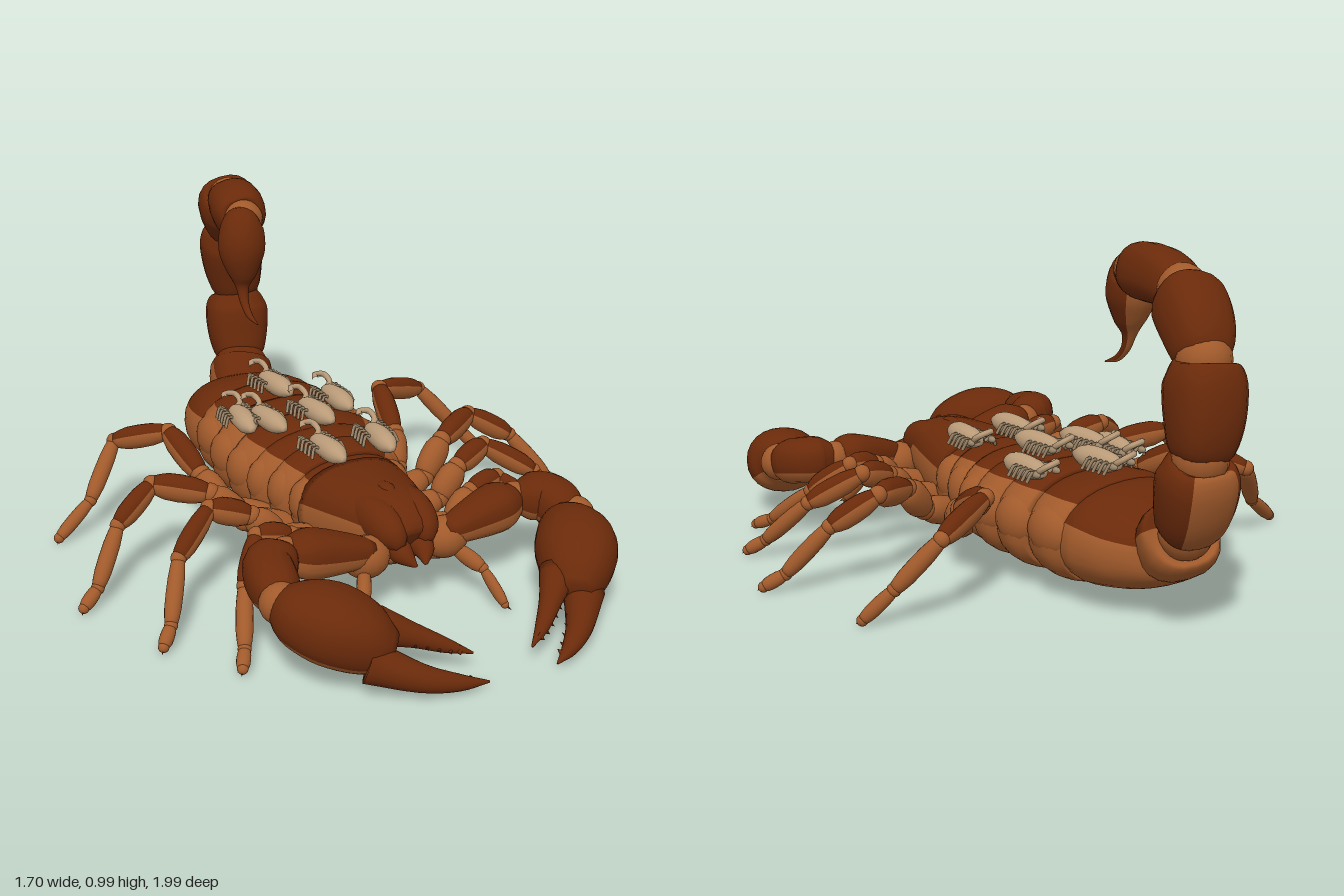
import * as THREE from 'three';

const paint = (name, color) => {
  const m = new THREE.MeshStandardMaterial({ color });
  m.name = name;
  return m;
};

export function createModel() {
  const model = new THREE.Group();
  model.name = 'scorpion';
  const shell = paint('darkBrownShell', 0x6a2a0a);
  const skin = paint('lightBrownSkin', 0xa15a2b);
  const pale = paint('paleTan', 0xba9b78);
  const drab = paint('drabTan', 0x9a8467);
  const UP = new THREE.Vector3(0, 1, 0);

  // Smooth body through stations [x, y, z, halfWidth, halfHeight];
  // faces whose sine around the section exceeds `cut` take the second material.
  function loft(parent, name, st, { cut = 2, up = UP, p = 1, sides = 20, steps = 4, mats = [skin, shell] } = {}) {
    const path = new THREE.CatmullRomCurve3(st.map(s => new THREE.Vector3(s[0], s[1], s[2])), false, 'catmullrom');
    const size = new THREE.CatmullRomCurve3(st.map(s => new THREE.Vector3(s[3], s[4] ?? s[3], 0)), false, 'catmullrom');
    const n = (st.length - 1) * steps, pos = [], faces = [[], []];
    const pw = v => Math.sign(v) * Math.abs(v) ** p;
    for (let i = 0; i <= n; i++) {
      const t = i / n, c = path.getPoint(t), r = size.getPoint(t);
      const dir = path.getPoint(Math.min(1, t + 0.01)).sub(path.getPoint(Math.max(0, t - 0.01))).normalize();
      const side = up.clone().cross(dir).normalize(), top = dir.clone().cross(side);
      for (let j = 0; j < sides; j++) {
        const a = j / sides * Math.PI * 2;
        const v = c.clone().addScaledVector(side, pw(Math.cos(a)) * Math.max(r.x, 0.001))
          .addScaledVector(top, pw(Math.sin(a)) * Math.max(r.y, 0.001));
        pos.push(v.x, v.y, v.z);
      }
    }
    const end = (n + 1) * sides;
    pos.push(...st[0].slice(0, 3), ...st.at(-1).slice(0, 3));
    for (let j = 0; j < sides; j++) {
      const k = (j + 1) % sides;
      const f = faces[Math.sin((j + 0.5) / sides * Math.PI * 2) > cut ? 1 : 0];
      f.push(end, k, j, end + 1, n * sides + j, n * sides + k);
      for (let i = 0; i < n; i++) {
        const a = i * sides, b = a + sides;
        f.push(a + j, a + k, b + k, a + j, b + k, b + j);
      }
    }
    const g = new THREE.BufferGeometry();
    g.setAttribute('position', new THREE.Float32BufferAttribute(pos, 3));
    g.setIndex([...faces[0], ...faces[1]]);
    g.addGroup(0, faces[0].length, 0);
    g.addGroup(faces[0].length, faces[1].length, 1);
    g.computeVertexNormals();
    const mesh = new THREE.Mesh(g, mats);
    mesh.name = name;
    parent.add(mesh);
  }
  function ball(parent, name, mat, [x, y, z], r, sx = 1, sy = 1, sz = 1) {
    const m = new THREE.Mesh(new THREE.SphereGeometry(r, 16, 12), mat);
    m.position.set(x, y, z);
    m.scale.set(sx, sy, sz);
    m.name = name;
    parent.add(m);
  }
  function spike(parent, name, mat, from, to, r) {
    const a = new THREE.Vector3(...from), d = new THREE.Vector3(...to).sub(a);
    const m = new THREE.Mesh(new THREE.ConeGeometry(r, d.length(), 8), mat);
    m.position.copy(a).addScaledVector(d, 0.5);
    m.quaternion.setFromUnitVectors(UP, d.normalize());
    m.name = name;
    parent.add(m);
  }
  const mix = (a, b, t) => a.map((v, i) => v + (b[i] - v) * t);

  // Abdomen rings with soft side lobes: [front z, back z, half width]
  const rings = [[0.21, 0.09, 0.19], [0.11, -0.01, 0.215], [0.01, -0.1, 0.242], [-0.08, -0.22, 0.262],
    [-0.2, -0.35, 0.262], [-0.33, -0.5, 0.247]];
  rings.forEach(([a, b, w], i) => {
    const x = 0.006 + i * 0.004, y = 0.177, h = [0.125, 0.142, 0.147, 0.151, 0.153, 0.151][i], l = a - b;
    loft(model, 'abdomenRing', [[x, y, a, w * 0.86, h * 0.9], [x, y, a - l * 0.3, w * 0.97, h * 0.98],
      [x, y, a - l * 0.7, w, h], [x, y, b, w * 0.9, h * 0.95]], { cut: 0.65, p: 0.86, sides: 32 });
    for (const s of [1, -1]) ball(model, 'sideLobe', skin, [x + s * (w - 0.051), 0.195, (a + b) / 2 - 0.01], l / 2, 0.058 / l * 2, 0.075 / l * 2, 1.05);
  });
  loft(model, 'abdomenEnd', [[0.025, 0.18, -0.47, 0.225, 0.138], [0.025, 0.18, -0.55, 0.235, 0.142],
    [0.035, 0.177, -0.65, 0.205, 0.12], [0.045, 0.18, -0.72, 0.15, 0.09], [0.05, 0.185, -0.755, 0.07, 0.05]],
    { cut: 0.42, p: 0.88, sides: 32 });

  // Head shield with two front lobes and small jaws
  loft(model, 'headShield', [[0, 0.18, 0.17, 0.185, 0.13], [0, 0.195, 0.28, 0.16, 0.12],
    [0, 0.207, 0.4, 0.122, 0.105], [0, 0.205, 0.47, 0.09, 0.08], [0, 0.19, 0.5, 0.05, 0.04]], { cut: 0.2, p: 0.85, sides: 28 });
  ball(model, 'eyeMound', shell, [0, 0.305, 0.36], 0.03, 0.8, 0.5, 1.3);
  for (const s of [1, -1]) {
    loft(model, 'headLobe', [[s * 0.07, 0.24, 0.3, 0.05, 0.055], [s * 0.057, 0.24, 0.42, 0.056, 0.064],
      [s * 0.05, 0.22, 0.49, 0.045, 0.052], [s * 0.046, 0.2, 0.525, 0.015]], { cut: -0.6 });
    loft(model, 'jaw', [[s * 0.03, 0.18, 0.46, 0.03], [s * 0.035, 0.175, 0.51, 0.034],
      [s * 0.02, 0.155, 0.55, 0.012], [s * 0.012, 0.15, 0.56, 0.003]], { cut: -0.5 });
    ball(model, 'clawHip', skin, [s * 0.13, 0.17, 0.475], 0.065, 1.1, 0.95, 0.95);
    loft(model, 'bellyComb', [[s * 0.02, 0.07, 0.17, 0.012], [s * 0.09, 0.06, 0.11, 0.022, 0.012],
      [s * 0.16, 0.07, 0.04, 0.008]], { sides: 10 });
  }
  ball(model, 'breastPlate', skin, [0, 0.13, 0.3], 0.1, 1.3, 0.55, 1.7);

  // Tail: joints, then the bulging segment between each pair
  const joints = [[0.05, 0.19, -0.68], [0.115, 0.28, -0.835], [0.138, 0.5, -0.905],
    [0.105, 0.745, -0.875], [0.03, 0.893, -0.715], [-0.045, 0.9, -0.45]];
  const tailSize = [[0.105, 0.105, 0.2], [0.105, 0.1, -0.75], [0.103, 0.1, -2], [0.096, 0.094, -2], [0.084, 0.08, -2]];
  const curl = new THREE.Vector3(0.06, 0.58, -0.52);
  tailSize.forEach(([w, h, cut], i) => {
    const a = joints[i], b = joints[i + 1];
    const up = curl.clone().sub(new THREE.Vector3(...mix(a, b, 0.5))).normalize();
    const at = (t, k, out) => {
      const q = mix(a, b, t);
      return [q[0] - up.x * out, q[1] - up.y * out, q[2] - up.z * out, w * k, h * k];
    };
    loft(model, 'tailSegment', [at(-0.03, 0.58, 0), at(0.1, 0.81, 0.004), at(0.42, 0.97, 0.012),
      at(0.76, 1, 0.008), at(0.94, 0.82, 0), at(1, 0.58, 0)], { cut, up, p: 0.82 });
    ball(model, 'tailJoint', skin, b, w * 0.72);
  });
  loft(model, 'stinger', [[-0.045, 0.915, -0.44, 0.04], [-0.065, 0.89, -0.42, 0.066], [-0.076, 0.82, -0.402, 0.073],
    [-0.08, 0.75, -0.392, 0.048], [-0.083, 0.705, -0.388, 0.022], [-0.086, 0.66, -0.37, 0.014], [-0.086, 0.625, -0.335, 0.01],
    [-0.08, 0.608, -0.29, 0.002]], { cut: -0.7, up: new THREE.Vector3(0, 0, 1) });

  // Pincer arms, each with its own pose
  const arms = [
    { name: 'leftPincer', arm: [[0.12, 0.19, 0.49], [0.375, 0.23, 0.465], [0.46, 0.23, 0.495], [0.495, 0.205, 0.6]],
      palm: [[0.495, 0.2, 0.6, 0.05], [0.455, 0.19, 0.645, 0.098, 0.088], [0.41, 0.168, 0.725, 0.117, 0.104],
        [0.355, 0.13, 0.8, 0.09, 0.088], [0.32, 0.11, 0.845, 0.045]],
      outer: [[0.37, 0.095, 0.82, 0.058], [0.29, 0.055, 0.91, 0.038], [0.225, 0.032, 0.958, 0.023], [0.165, 0.015, 0.985, 0.003]],
      inner: [[0.315, 0.145, 0.77, 0.054], [0.25, 0.11, 0.83, 0.033], [0.18, 0.075, 0.89, 0.02], [0.12, 0.05, 0.93, 0.003]] },
    { name: 'rightPincer', arm: [[-0.12, 0.19, 0.49], [-0.37, 0.23, 0.455], [-0.45, 0.23, 0.505], [-0.485, 0.205, 0.645]],
      palm: [[-0.485, 0.2, 0.635, 0.05], [-0.45, 0.19, 0.69, 0.098, 0.088], [-0.385, 0.168, 0.755, 0.117, 0.104],
        [-0.31, 0.13, 0.815, 0.09, 0.088], [-0.26, 0.11, 0.845, 0.045]],
      outer: [[-0.335, 0.095, 0.85, 0.058], [-0.225, 0.055, 0.925, 0.038], [-0.13, 0.032, 0.96, 0.023], [-0.045, 0.018, 0.975, 0.003]],
      inner: [[-0.27, 0.145, 0.775, 0.054], [-0.18, 0.11, 0.815, 0.033], [-0.1, 0.075, 0.85, 0.02], [-0.035, 0.05, 0.88, 0.003]] },
  ];
  for (const { name, arm, palm, outer, inner } of arms) {
    const g = new THREE.Group();
    g.name = name;
    model.add(g);
    const [a, b, c, d] = arm;
    loft(g, 'upperArm', [[...a, 0.035], [...mix(a, b, 0.3), 0.054], [...mix(a, b, 0.75), 0.07], [...b, 0.045]], { cut: 0.1, p: 0.85 });
    ball(g, 'elbow', skin, b, 0.05);
    loft(g, 'forearm', [[...b, 0.04], [...mix(b, c, 0.5), 0.066], [...c, 0.07], [...mix(c, d, 0.6), 0.068], [...d, 0.043]], { cut: -0.25, p: 0.85 });
    ball(g, 'wrist', skin, d, 0.058);
    loft(g, 'palm', palm, { cut: -0.55, p: 0.92, sides: 24 });
    loft(g, 'fixedFinger', outer, { cut: -2 });
    loft(g, 'movingFinger', inner, { cut: -2 });
    // Teeth along the facing edges of the fingers
    for (const [own, other] of [[outer, inner], [inner, outer]]) {
      for (let i = 0; i < 5; i++) {
        const k = 1 + i * 0.36, n = Math.floor(k), f = k - n;
        const p = mix(own[n], own[n + 1], f), q = mix(other[n], other[n + 1], f);
        const dir = new THREE.Vector3(q[0] - p[0], q[1] - p[1], q[2] - p[2]).normalize();
        const tip = dir.multiplyScalar(p[3] + 0.01).toArray().map((v, m) => v + p[m]);
        spike(g, 'tooth', shell, p.slice(0, 3), tip, 0.015);
      }
    }
  }

  // Walking legs; the rearmost pair is posed differently on each side
  const legs = [
    [[0.08, 0.12, 0.44], [0.15, 0.14, 0.5], [0.195, 0.1, 0.58], [0.22, 0.015, 0.66]],
    [[0.1, 0.12, 0.35], [0.22, 0.15, 0.37], [0.3, 0.22, 0.35], [0.4, 0.24, 0.335], [0.485, 0.15, 0.43], [0.55, 0.04, 0.56], [0.58, 0.015, 0.61]],
    [[0.12, 0.11, 0.22], [0.27, 0.15, 0.22], [0.35, 0.23, 0.2], [0.465, 0.265, 0.165], [0.6, 0.18, 0.25], [0.68, 0.05, 0.37], [0.72, 0.015, 0.41]],
    [[0.15, 0.1, 0.1], [0.31, 0.15, 0.07], [0.4, 0.24, 0.03], [0.55, 0.27, -0.05], [0.68, 0.19, 0], [0.78, 0.05, 0.08], [0.835, 0.015, 0.11]],
  ];
  const rear = {
    1: [[0.18, 0.1, 0.03], [0.29, 0.13, -0.06], [0.335, 0.21, -0.15], [0.378, 0.295, -0.32], [0.57, 0.235, -0.385], [0.68, 0.1, -0.32], [0.75, 0.015, -0.27]],
    [-1]: [[0.18, 0.1, 0.03], [0.31, 0.13, -0.06], [0.345, 0.21, -0.16], [0.378, 0.295, -0.325], [0.51, 0.245, -0.45], [0.63, 0.1, -0.365], [0.75, 0.015, -0.33]],
  };
  for (const s of [1, -1]) {
    [...legs, rear[s]].forEach((pts, i) => {
      const g = new THREE.Group();
      g.name = (s > 0 ? 'left' : 'right') + 'Leg';
      model.add(g);
      const P = pts.map(([x, y, z]) => [x * s, y, z]), n = P.length - 1;
      const r0 = i === 0 ? 0.026 : 0.04 + i * 0.001;
      for (let k = 0; k < n; k++) {
        const r = r0 * (1 - 0.64 * k / n), a = P[k], b = P[k + 1], tall = k > 0 && k < 4 ? 1.2 : 1;
        loft(g, 'legSegment', [[...a, r * 0.75], [...mix(a, b, 0.3), r, r * tall], [...mix(a, b, 0.75), r, r * tall], [...b, r * 0.72]],
          { cut: i > 0 && (k === 2 || k === 3) ? 0.5 : 2, sides: 16, steps: 2 });
        ball(g, 'legJoint', skin, b, r * 0.8);
      }
      const [x, y, z] = P[n];
      for (const t of [-1, 1]) spike(g, 'footClaw', shell, [x, y, z], [x + s * 0.012, 0.002, z + 0.012 * t + 0.004], 0.006);
    });
  }

  // Young riding on the back: [x, y, z, turn]
  const young = [[-0.05, 0.337, 0.1, 0.05], [0.13, 0.335, 0.1, -0.1], [0.04, 0.35, -0.14, 0.1], [-0.11, 0.342, -0.17, 0.1],
    [-0.165, 0.328, -0.24, -0.1], [0.175, 0.328, -0.25, 0], [0.025, 0.355, -0.39, 0.1]];
  const tube = (g, name, mat, pts, r, seg = 10) => {
    const curve = new THREE.CatmullRomCurve3(pts.map(q => new THREE.Vector3(...q)));
    const m = new THREE.Mesh(new THREE.TubeGeometry(curve, seg, r, 6), mat);
    m.name = name;
    g.add(m);
  };
  for (const [x, y, z, turn] of young) {
    const g = new THREE.Group();
    g.name = 'youngScorpion';
    g.position.set(x, y, z);
    g.rotation.y = turn;
    model.add(g);
    loft(g, 'youngBody', [[0, 0, -0.08, 0.012], [0, 0.002, -0.05, 0.027, 0.027], [0, 0.002, 0, 0.034, 0.034],
      [0, 0.002, 0.06, 0.031, 0.03], [0, 0, 0.1, 0.009]], { mats: [pale, pale], sides: 14 });
    tube(g, 'youngTail', pale, [[0, 0.005, -0.07], [0.028, 0.015, -0.092], [0.022, 0.034, -0.12], [-0.014, 0.04, -0.118], [-0.022, 0.034, -0.095]], 0.01, 16);
    for (const s of [1, -1]) {
      for (let k = 0; k < 5; k++) {
        const q = -0.075 + k * 0.021;
        tube(g, 'youngLeg', drab, [[s * 0.018, 0, q], [s * 0.042, 0.014, q - 0.006], [s * 0.058, -0.018, q + 0.004]], 0.005, 6);
      }
      ball(g, 'youngPincer', drab, [s * 0.036, 0.005, -0.085], 0.013, 0.8, 0.8, 1.4);
    }
  }
  return model;
}
